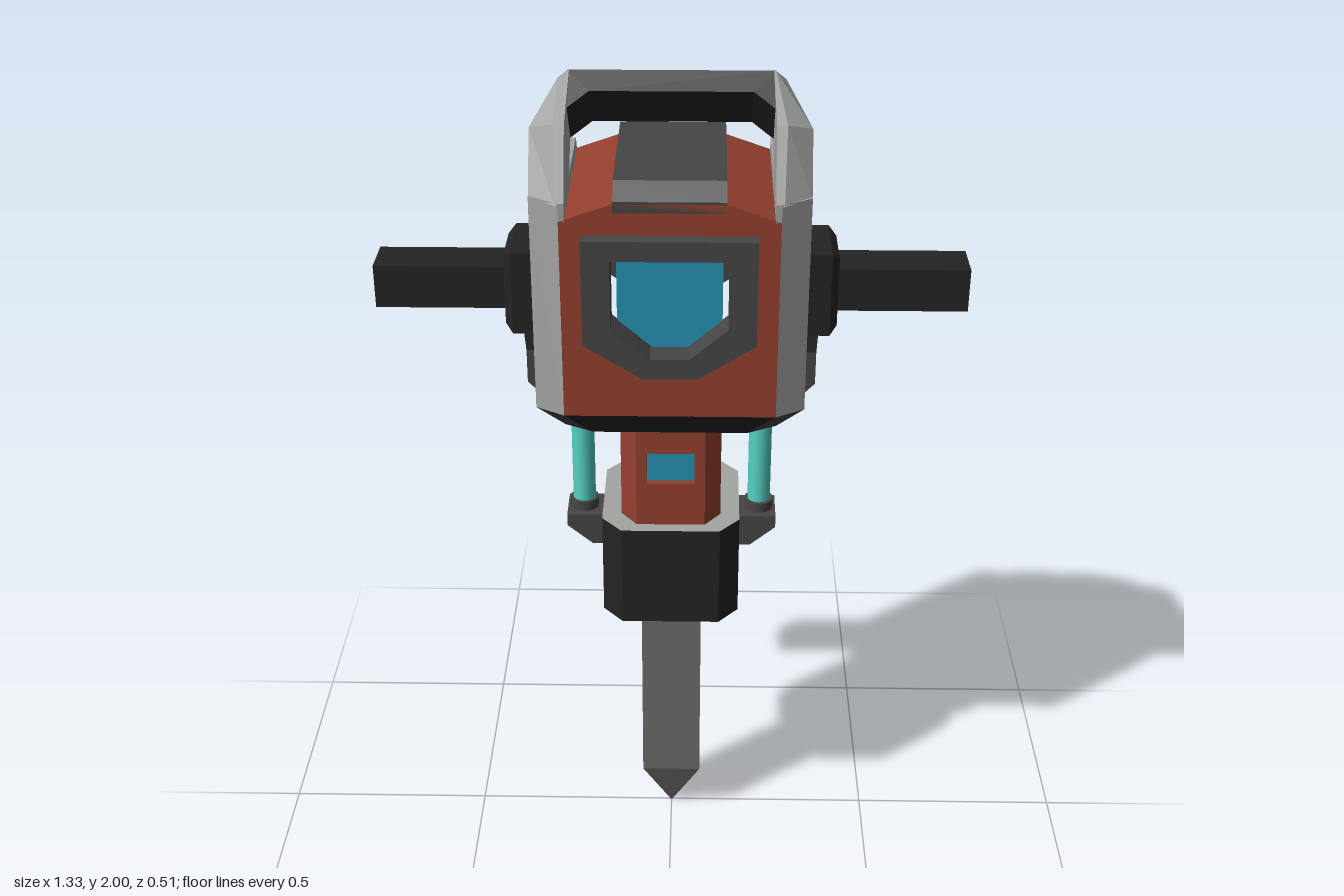
import * as THREE from 'three';

const mat = (name, color) => {
  const m = new THREE.MeshStandardMaterial({ color });
  m.name = name;
  return m;
};

export function createModel() {
  const red = mat('red paint', 0x94402f);
  const light = mat('light grey metal', 0xa3a5a3);
  const dark = mat('dark grey metal', 0x464646);
  const black = mat('black rubber', 0x242424);
  const steel = mat('chisel steel', 0x6f6d6b);
  const blue = mat('blue screen', 0x2595b6);
  const cyan = mat('cyan piston', 0x55d2c4);

  const model = new THREE.Group();
  const V = (x, y, z) => new THREE.Vector3(x, y, z);

  const add = (parent, name, geo, material) => {
    const m = new THREE.Mesh(geo, material);
    m.name = name;
    parent.add(m);
    return m;
  };
  const box = (parent, name, w, h, d, x, y, z, material) =>
    add(parent, name, new THREE.BoxGeometry(w, h, d).translate(x, y, z), material);

  // Flat-shaded loft through convex rings; sideMat(i) picks the colour of each side
  const loft = (parent, name, rings, sideMat, top, bottom) => {
    const faces = new Map();
    const tri = (m, ...p) => {
      if (!m) return;
      if (!faces.has(m)) faces.set(m, []);
      faces.get(m).push(...p);
    };
    const n = rings[0].length;
    const first = rings[0], last = rings[rings.length - 1];
    for (let i = 0; i < n; i++) {
      const j = (i + 1) % n;
      for (let k = 0; k + 1 < rings.length; k++) {
        const a = rings[k], b = rings[k + 1];
        tri(sideMat(i), a[i], b[i], b[j], a[i], b[j], a[j]);
      }
      if (i > 0 && i < n - 1) {
        tri(top, last[0], last[j], last[i]);
        tri(bottom, first[0], first[i], first[j]);
      }
    }
    for (const [m, pts] of faces) {
      const geo = new THREE.BufferGeometry().setFromPoints(pts);
      geo.computeVertexNormals();
      add(parent, name, geo, m);
    }
  };

  // Chamfered rectangle: half sizes x, z; flat faces reach xc, zc
  const oct = (y, x, z, xc, zc) => [[x, zc], [xc, z], [-xc, z], [-x, zc],
    [-x, -zc], [-xc, -z], [xc, -z], [x, -zc]].map(([a, b]) => V(a, y, b));
  const octMat = (corner, front, side) => i => i % 2 === 0 ? corner : i % 4 === 1 ? front : side;

  // Extruded outline, mirrored in x from its right half (listed from top to bottom)
  const outline = (half, Type = THREE.Path) => new Type([
    ...half.map(([x, y]) => new THREE.Vector2(-x, y)),
    ...half.slice().reverse().map(([x, y]) => new THREE.Vector2(x, y))]);
  const plate = (half, depth, z, hole) => {
    const s = outline(half, THREE.Shape);
    if (hole) s.holes.push(outline(hole));
    return new THREE.ExtrudeGeometry(s, { depth, bevelEnabled: false }).translate(0, 0, z);
  };

  // Chisel with a pyramid point
  const rect = (y, x, z) => [V(x, y, -z), V(x, y, z), V(-x, y, z), V(-x, y, -z)];
  loft(model, 'chisel', [rect(0.005, 0.002, 0.002), rect(0.15, 0.073, 0.055), rect(0.66, 0.073, 0.055)],
    () => steel, steel, steel);

  // Collar with light rims and a tapered underside
  loft(model, 'collar', [oct(0.695, 0.162, 0.17, 0.115, 0.115), oct(0.95, 0.162, 0.17, 0.115, 0.115)],
    () => black, light, light);
  loft(model, 'collarTaper', [oct(0.63, 0.075, 0.06, 0.06, 0.045), oct(0.697, 0.125, 0.15, 0.09, 0.1)],
    () => black, null, black);

  // Neck: red front and back, grey sides
  loft(model, 'neck', [oct(0.94, 0.117, 0.14, 0.08, 0.09), oct(1.23, 0.117, 0.14, 0.08, 0.09)],
    octMat(red, null, dark));

  // Main housing with grey corner posts
  loft(model, 'housing', [oct(1.28, 0.3, 0.22, 0.235, 0.18), oct(1.74, 0.3, 0.22, 0.235, 0.18)],
    octMat(light, null, red));
  loft(model, 'housingBase', [oct(1.21, 0.24, 0.165, 0.175, 0.13), oct(1.28, 0.3, 0.22, 0.235, 0.18)],
    octMat(dark, black, black), null, black);
  add(model, 'roof', plate([[0.12, 1.78], [0.235, 1.74]], 0.44, -0.22), red);

  // Roof plate with sloped ends
  const cap = (y, z) => rect(y, 0.12, z);
  loft(model, 'roofPlate', [cap(1.76, 0.22), cap(1.785, 0.22), cap(1.82, 0.185)], () => dark, dark, dark);

  // Parts shared by the front and the back
  const frameHalf = [[0.188, 1.71], [0.188, 1.47], [0.06, 1.39]];
  const openHalf = [[0.127, 1.665], [0.127, 1.51], [0.043, 1.437]];
  const screenHalf = [[0.114, 1.652], [0.114, 1.515], [0.038, 1.45]];
  for (const [name, angle] of [['frontPanel', 0], ['backPanel', Math.PI]]) {
    const g = new THREE.Group();
    g.name = name;
    g.rotation.y = angle;
    model.add(g);
    add(g, 'housingFace', new THREE.ShapeGeometry((() => {
      const s = outline([[0.235, 1.74], [0.235, 1.28]], THREE.Shape);
      s.holes.push(outline([[0.15, 1.69], [0.15, 1.48], [0.05, 1.41]]));
      return s;
    })()).translate(0, 0, 0.22), red);
    add(g, 'screenFrame', plate(frameHalf, 0.075, 0.18, openHalf), dark);
    add(g, 'screen', plate(screenHalf, 0.008, 0.21), blue);
    add(g, 'neckFace', plate([[0.08, 1.23], [0.08, 0.94]], 0.02, 0.12,
      [[0.055, 1.14], [0.055, 1.06]]), red);
    box(g, 'neckWindow', 0.13, 0.1, 0.006, 0, 1.1, 0.121, blue);
  }

  // Parts on each side: grip, hub, bracket and piston
  const face = (x, h, d) => [V(x, 1.515 - h, d), V(x, 1.515 + h, d), V(x, 1.515 + h, -d), V(x, 1.515 - h, -d)];
  const slab = (y, x0, x1, z) => [V(x1, y, -z), V(x1, y, z), V(x0, y, z), V(x0, y, -z)];
  for (const [name, angle] of [['leftSide', 0], ['rightSide', Math.PI]]) {
    const g = new THREE.Group();
    g.name = name;
    g.rotation.y = angle;
    model.add(g);
    box(g, 'grip', 0.31, 0.1, 0.11, 0.51, 1.515, 0, black);
    loft(g, 'gripHub', [face(0.29, 0.097, 0.088), face(0.355, 0.097, 0.088), face(0.372, 0.08, 0.068)],
      () => black, black);
    loft(g, 'sideBracket', [slab(1.2, 0.17, 0.25, 0.055), slab(1.28, 0.22, 0.33, 0.055),
      slab(1.36, 0.28, 0.33, 0.055), slab(1.42, 0.28, 0.33, 0.088)], () => dark, dark, black);

    const rod = (part, r, y0, y1, m, sides) => add(g, part,
      new THREE.CylinderGeometry(r, r, y1 - y0, sides).translate(0.21, (y0 + y1) / 2, 0), m);
    rod('piston', 0.027, 0.93, 1.21, cyan, 16);
    rod('pistonTopRing', 0.034, 1.18, 1.21, dark, 16);
    rod('pistonFootRing', 0.034, 0.91, 0.945, dark, 16);
    loft(g, 'pistonFoot', [slab(0.84, 0.15, 0.19, 0.05), slab(0.89, 0.15, 0.25, 0.05),
      slab(0.92, 0.15, 0.25, 0.05)], () => dark, dark, dark);
  }

  // Top handle: side rails and arms, leaning back to the bar
  const section = (F, K, xi, xf, xo, s) => {
    const pts = [[xi, 0], [xf, 0], [xo, 0.25], [xo, 1], [xi, 1]].map(([x, t]) =>
      V(s * x, F[1] + (K[1] - F[1]) * t, F[0] + (K[0] - F[0]) * t));
    return s > 0 ? pts.reverse() : pts;
  };
  const railRing = (y, back, s) => {
    const pts = [[0.3, 0.18], [0.235, 0.22], [0.222, 0.22], [0.222, -back],
      [0.235, -back], [0.3, -back + 0.04]].map(([x, z]) => V(s * x, y, z));
    return s > 0 ? pts : pts.reverse();
  };
  for (const s of [1, -1]) {
    const side = s > 0 ? 'left' : 'right';
    loft(model, side + 'TopRail', [railRing(1.74, 0.22, s), railRing(1.78, 0.19, s)], () => light, light);
    loft(model, side + 'HandleArm', [
      section([0.22, 1.775], [0.04, 1.775], 0.222, 0.24, 0.3, s),
      section([0.14, 1.925], [-0.025, 1.84], 0.222, 0.245, 0.3, s),
      section([0.01, 2.0], [-0.09, 1.9], 0.218, 0.222, 0.245, s),
    ], () => light, light);
  }

  // Handle bar with small corner gussets
  const bar = plate([[0.222, 0], [0.222, -0.09]], 0.145, 0);
  bar.dispose();
  const barShape = new THREE.Shape([[-0.222, 0], [-0.222, -0.09], [-0.175, -0.05], [0.175, -0.05],
    [0.222, -0.09], [0.222, 0]].map(([x, y]) => new THREE.Vector2(x, y)));
  add(model, 'handleBar', new THREE.ExtrudeGeometry(barShape, { depth: 0.142, bevelEnabled: false })
    .rotateX(-Math.PI / 4).translate(0, 1.9, -0.092), black);

  return model;
}
